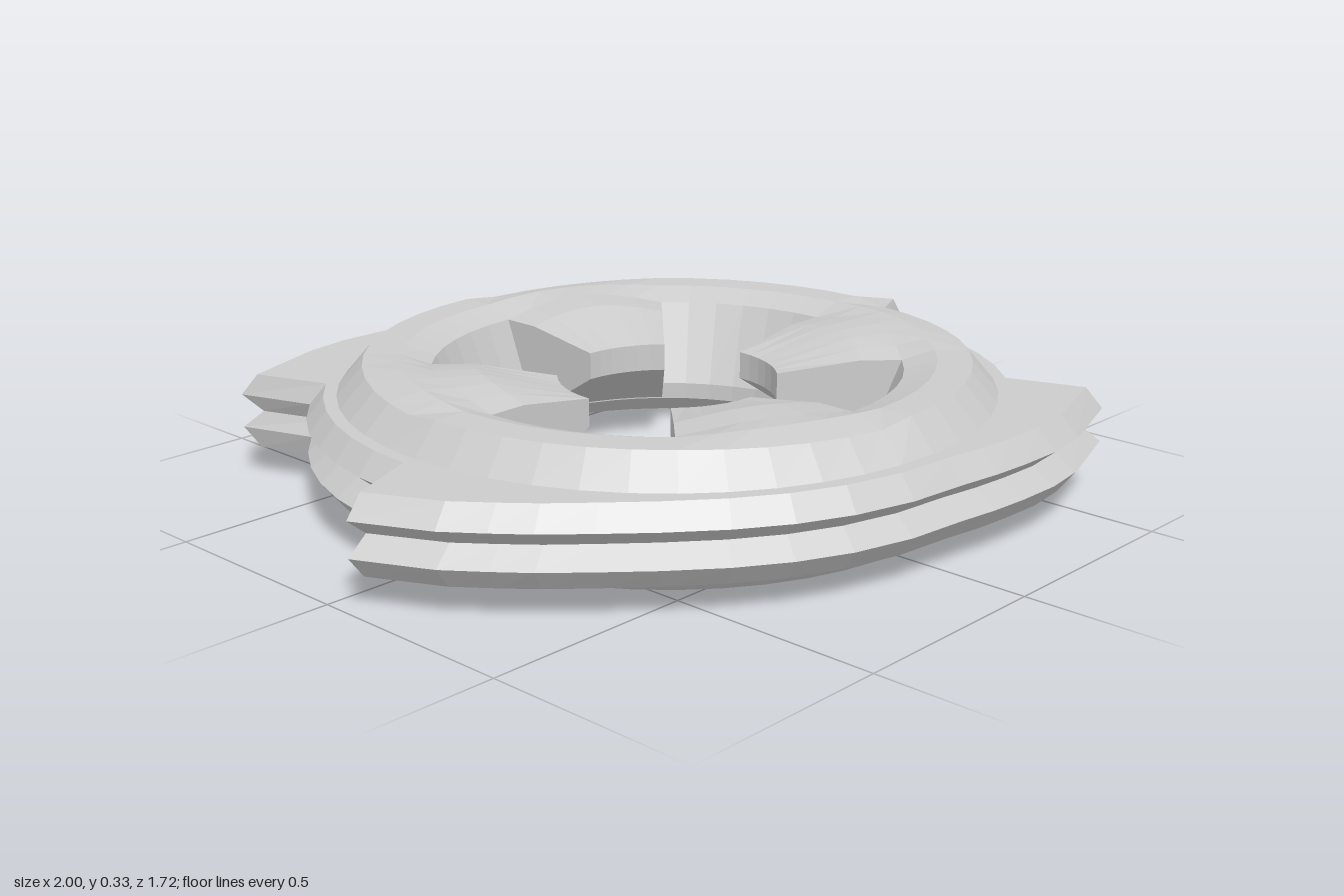
import * as THREE from 'three';

const material = new THREE.MeshStandardMaterial({ color: 0xcccccc, flatShading: true });
const DEG = Math.PI / 180;

// Sweeps [radius, height] cross-sections around the y axis.
// sections: [{ a: degrees, p: [[r, y], ...] }], each outline counterclockwise.
function sweep(name, sections, closed) {
  const pos = [];
  const point = (s, j) => {
    const [r, y] = s.p[j % s.p.length];
    return [r * Math.cos(s.a * DEG), y, -r * Math.sin(s.a * DEG)];
  };
  const tri = (a, b, c) => pos.push(...a, ...b, ...c);
  const n = sections.length;
  for (let i = 0; i < (closed ? n : n - 1); i++) {
    const s = sections[i], t = sections[(i + 1) % n];
    for (let j = 0; j < s.p.length; j++) {
      tri(point(s, j), point(t, j), point(t, j + 1));
      tri(point(s, j), point(t, j + 1), point(s, j + 1));
    }
  }
  if (!closed) {
    const s = sections[0], t = sections[n - 1];
    for (let j = 1; j < s.p.length - 1; j++) {
      tri(point(s, 0), point(s, j), point(s, j + 1));
      tri(point(t, 0), point(t, j + 1), point(t, j));
    }
  }
  const geo = new THREE.BufferGeometry();
  geo.setAttribute('position', new THREE.Float32BufferAttribute(pos, 3));
  geo.computeVertexNormals();
  const mesh = new THREE.Mesh(geo, material);
  mesh.name = name;
  return mesh;
}

// Ring body, its shoulder and crest varying gently over the four tab sectors
function body() {
  const sections = [];
  for (let i = 0; i < 48; i++) {
    const a = i * 7.5;
    const t = Math.max(0, ((a % 90) - 45) / 45);
    const hump = Math.sin(Math.PI * t);
    sections.push({ a, p: [
      [0.57, 0], [0.63, 0], [0.7, 0.02], [0.75, 0.07], [0.76, 0.25],
      [0.7, 0.32 - 0.012 * t], [0.62, 0.32 + 0.01 * hump], [0.545, 0.295 + 0.03 * hump],
      [0.47, 0.1], [0.47, 0.06], [0.51, 0.02],
    ] });
  }
  return sweep('ringBody', sections, true);
}

// Double-ridged rim with swept blades; the half outline repeats after 180 degrees
function rim() {
  const half = [
    [0, 0.83], [4.4, 1.003], [15, 0.95], [21, 0.915], [26.5, 0.89], [34, 0.86],
    [42.5, 0.842], [52, 0.835], [61, 0.834], [70, 0.834], [80, 0.834], [90, 0.836],
    [97, 0.857], [103, 0.88], [110, 0.914], [117, 0.945], [130.3, 1.004], [135, 0.83],
    [142.5, 0.83], [150, 0.83], [157.5, 0.83], [165, 0.83], [172.5, 0.83],
  ];
  const sections = [0, 180].flatMap((turn) => half.map(([a, r]) => ({
    a: a + turn,
    p: [[0.71, 0.07], [r - 0.04, 0.07], [r, 0.12], [r - 0.05, 0.16],
      [r, 0.2], [r - 0.04, 0.25], [0.71, 0.25]],
  })));
  return sweep('bladedRim', sections, true);
}

// Inner tab: sloping top, underside rising towards the centre
function tab(start) {
  const sections = [];
  for (let i = 0; i <= 6; i++) {
    const hump = Math.sin((Math.PI * i) / 6);
    sections.push({ a: start + i * 7.5, p: [
      [0.49, 0.05], [0.56, 0.1], [0.56, 0.28], [0.545, 0.295 + 0.03 * hump],
      [0.45, 0.295 + 0.025 * hump], [0.255, 0.265], [0.255, 0.2],
    ] });
  }
  return sweep('innerTab', sections, false);
}

export function createModel() {
  const model = new THREE.Group();
  model.name = 'bladedRing';
  model.add(body(), rim());
  for (let k = 0; k < 4; k++) model.add(tab(45 + 90 * k));
  return model;
}
